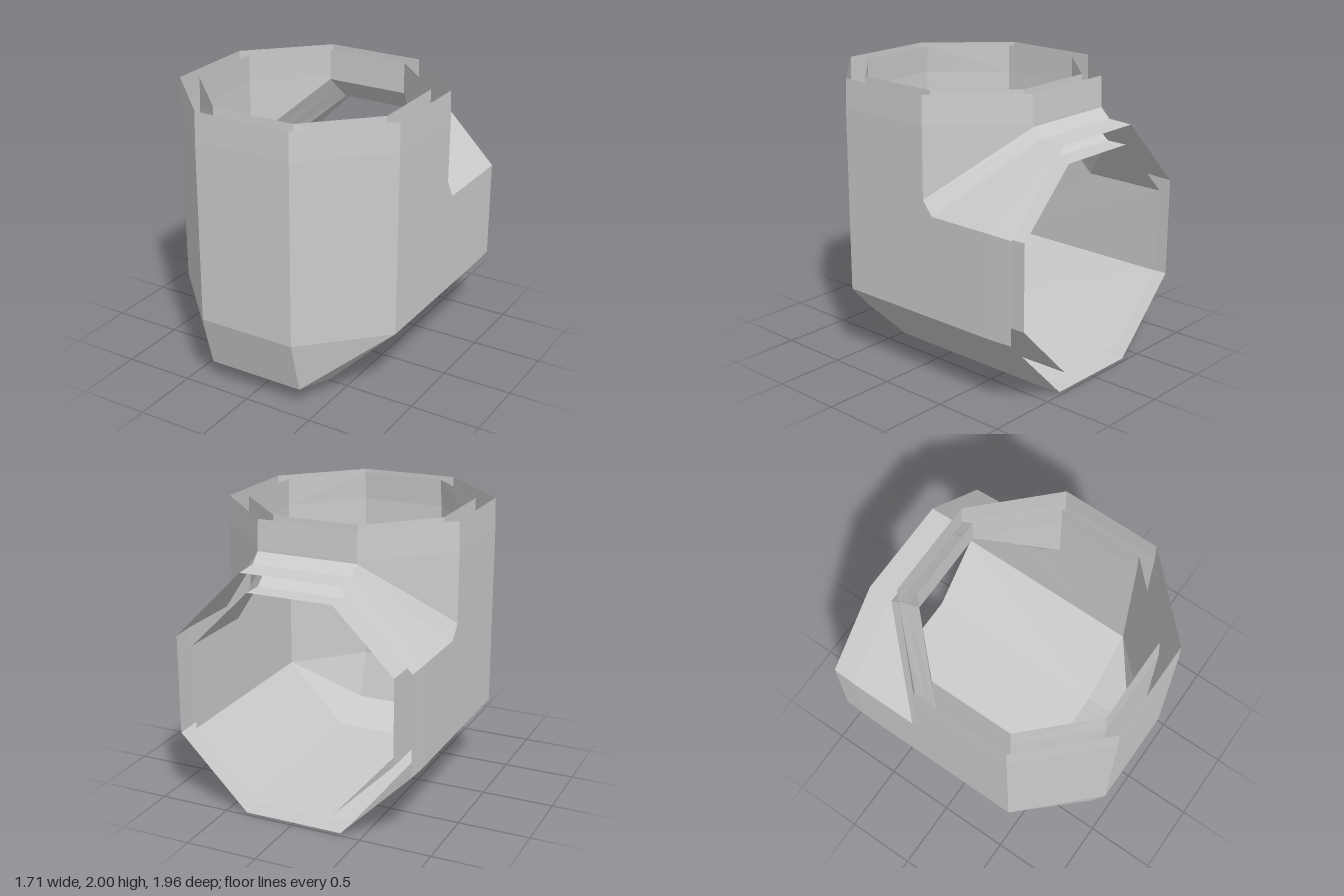
import * as THREE from 'three';

// Lofts an octagonal elbow shell through mirrored half-sections.
// Each section: [narrow x, wide x, four [z, y] corners from front/bottom to back/top].
function elbowShell(name, sections, inward) {
  const rings = sections.map(([nx, wx, ...c]) => {
    const half = c.map(([z, y], i) => new THREE.Vector3(i === 0 || i === 3 ? nx : wx, y, z));
    const mirrored = half.map(p => new THREE.Vector3(-p.x, p.y, p.z)).reverse();
    return [...half, ...mirrored];
  });
  const pos = [];
  const tri = (a, b, c) => {
    const area = b.clone().sub(a).cross(c.clone().sub(a)).length();
    if (area < 1e-6) return; // corners that share a point at the bend
    for (const p of inward ? [a, c, b] : [a, b, c]) pos.push(p.x, p.y, p.z);
  };
  for (let k = 0; k < rings.length - 1; k++) {
    const r = rings[k], s = rings[k + 1];
    for (let i = 0; i < 8; i++) {
      const j = (i + 1) % 8;
      if (i < 4) { // mirrored diagonals on the two sides
        tri(r[i], s[i], s[j]);
        tri(r[i], s[j], r[j]);
      } else {
        tri(r[i], s[i], r[j]);
        tri(s[i], s[j], r[j]);
      }
    }
  }
  const geo = new THREE.BufferGeometry();
  geo.setAttribute('position', new THREE.Float32BufferAttribute(pos, 3));
  geo.computeVertexNormals();
  const mesh = new THREE.Mesh(geo, new THREE.MeshStandardMaterial({
    color: 0xcccccc, flatShading: true, side: THREE.DoubleSide,
  }));
  mesh.name = name;
  return mesh;
}

export function createModel() {
  const group = new THREE.Group();
  group.name = 'pipeElbow';

  // outer wall: top mouth, taper, three bend sections, taper, rear mouth
  group.add(elbowShell('outerPipe', [
    [0.352, 0.848, [0.977, 2], [0.477, 2], [-0.227, 2], [-0.723, 2]],
    [0.355, 0.855, [0.984, 1.8], [0.48, 1.8], [-0.23, 1.8], [-0.73, 1.8]],
    [0.355, 0.855, [0.984, 0.505], [0.48, 0.505], [-0.23, 1.31], [-0.73, 1.785]],
    [0.355, 0.855, [0.885, 0.127], [0.48, 0.505], [-0.27, 1.26], [-0.765, 1.75]],
    [0.355, 0.855, [0.48, 0], [0.48, 0.505], [-0.31, 1.213], [-0.8, 1.715]],
    [0.355, 0.855, [-0.81, 0], [-0.81, 0.505], [-0.81, 1.213], [-0.81, 1.715]],
    [0.352, 0.848, [-0.98, 0.008], [-0.98, 0.508], [-0.98, 1.208], [-0.98, 1.707]],
  ], false));

  // inner wall, separated from the outer one by an open gap
  group.add(elbowShell('innerPipe', [
    [0.302, 0.725, [0.848, 2], [0.42, 2], [-0.178, 2], [-0.6, 2]],
    [0.305, 0.73, [0.865, 1.8], [0.422, 1.8], [-0.18, 1.8], [-0.602, 1.8]],
    [0.305, 0.73, [0.865, 0.56], [0.422, 0.56], [-0.18, 1.35], [-0.602, 1.775]],
    [0.305, 0.73, [0.78, 0.22], [0.422, 0.56], [-0.275, 1.255], [-0.715, 1.675]],
    [0.305, 0.73, [0.422, 0.12], [0.422, 0.56], [-0.37, 1.16], [-0.83, 1.58]],
    [0.302, 0.725, [-0.98, 0.135], [-0.98, 0.562], [-0.98, 1.16], [-0.98, 1.58]],
  ], true));

  return group;
}
